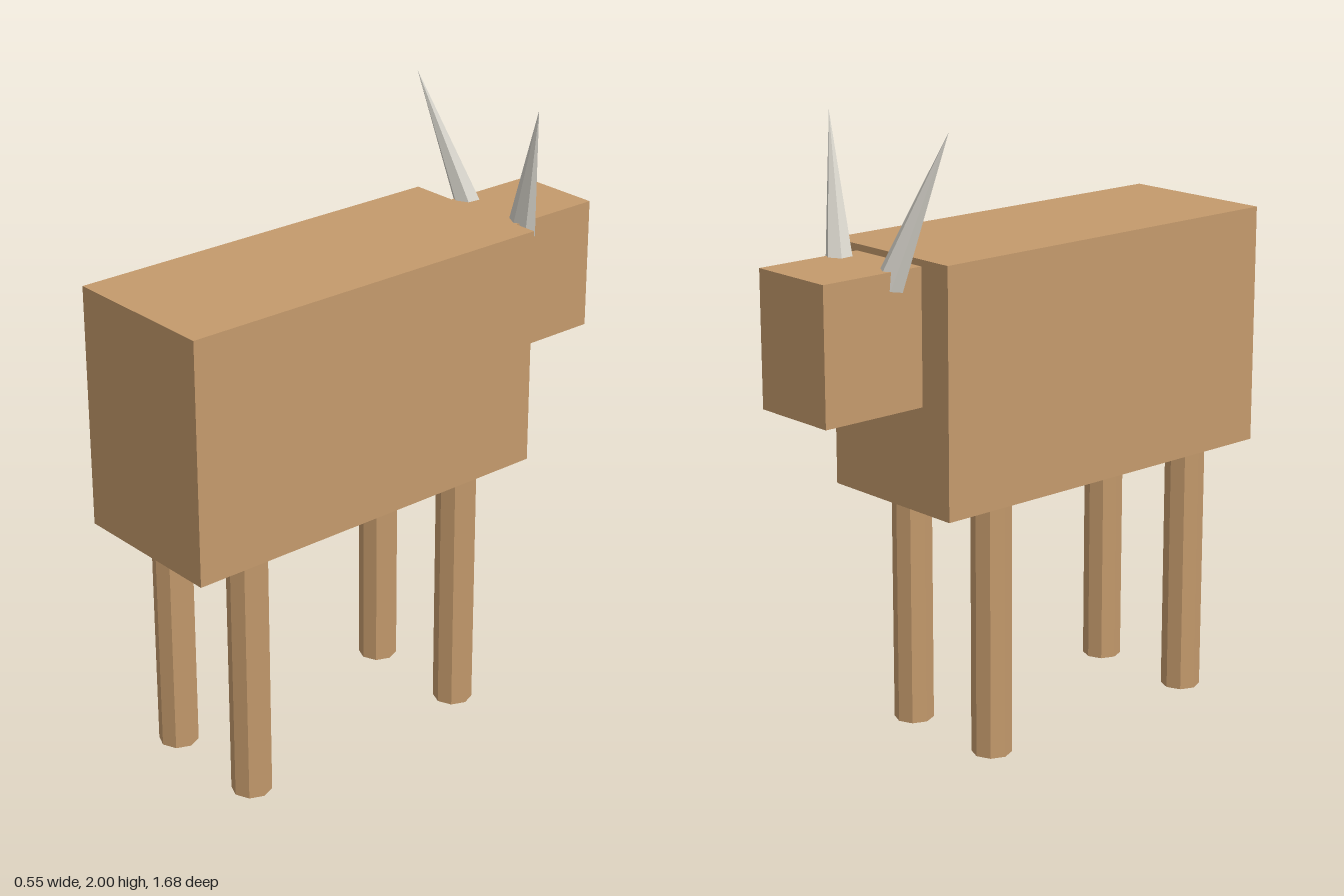
import * as THREE from 'three';

export function createModel() {
  const model = new THREE.Group();
  model.name = 'hornedAnimal';

  const hide = new THREE.MeshStandardMaterial({ color: 0xc49a6c, flatShading: true });
  hide.name = 'tan hide';
  const ivory = new THREE.MeshStandardMaterial({ color: 0xd6d3ca, flatShading: true });
  ivory.name = 'pale horn';

  function add(name, geometry, material, x, y, z) {
    const mesh = new THREE.Mesh(geometry, material);
    mesh.name = name;
    mesh.position.set(x, y, z);
    model.add(mesh);
    return mesh;
  }

  // Body and head blocks; the head is at the -z end
  add('body', new THREE.BoxGeometry(0.535, 0.78, 1.315), hide, 0, 1.215, 0.181);
  add('head', new THREE.BoxGeometry(0.3, 0.427, 0.364), hide, 0, 1.371, -0.658);

  // Four octagonal legs, and two six-sided horns leaning outwards and back
  const legShape = new THREE.CylinderGeometry(0.064, 0.064, 0.825, 8);
  const hornShape = new THREE.ConeGeometry(0.047, 0.497, 6);
  hornShape.translate(0, 0.2485, 0);
  for (const side of [-1, 1]) {
    add('headEndLeg', legShape, hide, side * 0.189, 0.4125, -0.24);
    add('tailEndLeg', legShape, hide, side * 0.189, 0.4125, 0.608);
    const horn = add('horn', hornShape, ivory, side * 0.114, 1.535, -0.57);
    horn.rotation.set(0.204, 0, -side * 0.33);
  }

  return model;
}
